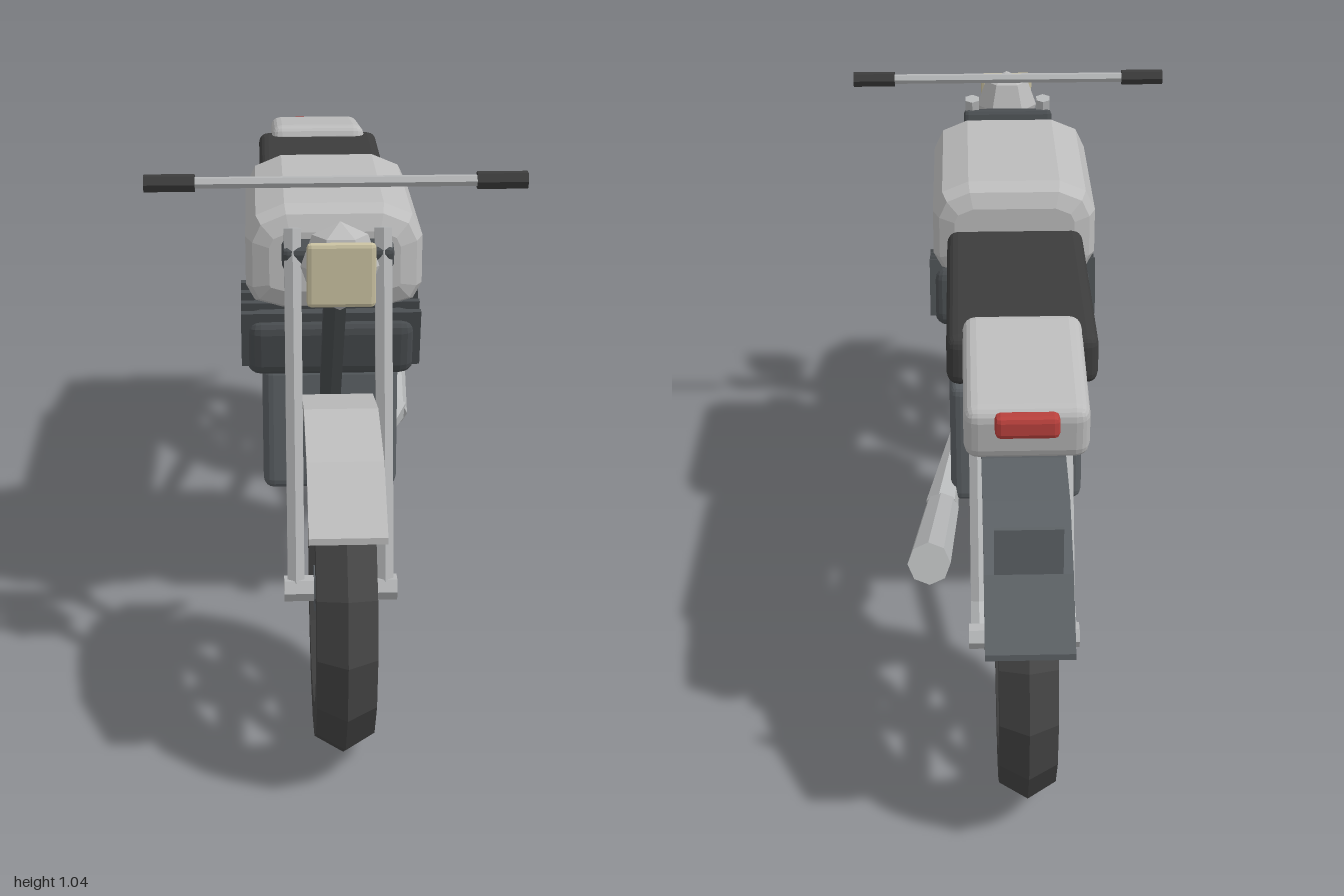
import * as THREE from 'three';
import { RoundedBoxGeometry } from 'three/addons/geometries/RoundedBoxGeometry.js';

const paint = (name, color) => {
  const m = new THREE.MeshStandardMaterial({ color });
  m.name = name;
  return m;
};

export function createModel() {
  const bodyGrey = paint('bodyGrey', 0xbcbcbc);
  const steel = paint('steel', 0xb6b8b9);
  const rubber = paint('rubber', 0x454545);
  const leather = paint('leather', 0x3c3c3c);
  const slate = paint('slate', 0x5c6165);
  const darkMetal = paint('darkMetal', 0x4a4e51);
  const lensCream = paint('lensCream', 0xc8c0a0);
  const lampRed = paint('lampRed', 0xb8403c);

  const root = new THREE.Group();
  root.name = 'motorcycle';

  // Faceted mesh: bakes flat normals into the geometry
  const add = (name, geo, mat, pos = [0, 0, 0], tilt = 0, parent = root) => {
    const g = geo.index ? geo.toNonIndexed() : geo;
    g.computeVertexNormals();
    const mesh = new THREE.Mesh(g, mat);
    mesh.name = name;
    mesh.position.set(...pos);
    mesh.rotation.x = tilt;
    parent.add(mesh);
    return mesh;
  };

  // Straight tube between two points, optionally tapered
  const tube = (name, a, b, r, mat, r2 = r, sides = 6, parent = root) => {
    const p = new THREE.Vector3(...a), q = new THREE.Vector3(...b);
    const dir = q.clone().sub(p);
    const mesh = add(name, new THREE.CylinderGeometry(r2, r, dir.length(), sides), mat, [0, 0, 0], 0, parent);
    mesh.position.copy(p).add(q).multiplyScalar(0.5);
    mesh.quaternion.setFromUnitVectors(new THREE.Vector3(0, 1, 0), dir.normalize());
    return mesh;
  };

  const box = (name, w, h, d, r, mat, pos, tilt = 0, seg = 1) =>
    add(name, new RoundedBoxGeometry(w, h, d, seg, r), mat, pos, tilt);

  // Wheels: tyre, rim, six spokes and hub
  const wheel = (name, z) => {
    const g = new THREE.Group();
    g.name = name;
    g.position.set(0, 0.308, z);
    root.add(g);
    add('tyre', new THREE.TorusGeometry(0.243, 0.061, 6, 16).rotateY(Math.PI / 2), rubber, [0, 0, 0], 0, g);
    add('rim', new THREE.TorusGeometry(0.195, 0.02, 6, 16).rotateY(Math.PI / 2), slate, [0, 0, 0], 0, g);
    for (let i = 0; i < 3; i++) {
      add('spokePair', new THREE.BoxGeometry(0.03, 0.036, 0.39), slate, [0, 0, 0], i * Math.PI / 3, g);
    }
    tube('hub', [-0.05, 0, 0], [0.05, 0, 0], 0.045, slate, 0.045, 8, g);
    tube('axle', [-0.105, 0, 0], [0.105, 0, 0], 0.024, steel, 0.024, 6, g);
  };
  wheel('frontWheel', 0.7);
  wheel('rearWheel', -0.68);

  // Mudguards: a thin profile in (z, y) extruded across the width
  const fender = (name, pts, width, mat) => {
    const t = 0.012;
    const s = new THREE.Shape([...pts, ...pts.slice().reverse().map(([z, y]) => [z, y - t])]
      .map(([z, y]) => new THREE.Vector2(z, y)));
    const geo = new THREE.ExtrudeGeometry(s, { depth: width, bevelEnabled: false });
    add(name, geo.translate(0, 0, -width / 2).rotateY(-Math.PI / 2), mat);
  };
  fender('frontFender', [[0.98, 0.545], [0.865, 0.635], [0.7, 0.667], [0.545, 0.635], [0.425, 0.545]], 0.134, bodyGrey);
  fender('rearFender', [[-0.49, 0.625], [-0.635, 0.672], [-0.77, 0.662], [-0.9, 0.592], [-1.0, 0.495]], 0.156, slate);
  add('numberPlate', new THREE.BoxGeometry(0.12, 0.09, 0.009), slate, [0, 0.64, -0.9]);

  // Paired tubes on both sides
  for (const s of [1, -1]) {
    tube('forkLeg', [s * 0.083, 0.308, 0.7], [s * 0.083, 0.962, 0.55], 0.018, steel);
    tube('swingArm', [s * 0.085, 0.445, -0.14], [s * 0.085, 0.308, -0.68], 0.018, steel);
    tube('shockAbsorber', [s * 0.085, 0.79, -0.37], [s * 0.085, 0.335, -0.6], 0.018, steel);
    tube('handGrip', [s * 0.26, 1.032, 0.487], [s * 0.354, 1.032, 0.487], 0.017, leather);
  }

  // Steering
  tube('handlebar', [-0.27, 1.032, 0.487], [0.27, 1.032, 0.487], 0.011, steel);
  box('forkClamp', 0.205, 0.045, 0.05, 0.01, darkMetal, [0, 0.912, 0.55], 0.23);

  // Headlight
  add('headlightShell', new THREE.SphereGeometry(0.083, 6, 4).scale(0.85, 1, 0.68), bodyGrey, [0, 0.917, 0.64]);
  box('headlightLens', 0.122, 0.118, 0.018, 0.008, lensCream, [0, 0.918, 0.696]);

  // Frame
  tube('backboneTube', [0, 0.885, 0.485], [0, 0.745, -0.13], 0.025, darkMetal);
  tube('downTube', [0, 0.855, 0.49], [0, 0.285, 0.03], 0.025, darkMetal);

  // Fuel tank: octagonal section with bevelled ends
  const half = [[0.095, 0.965], [0.15, 0.942], [0.17, 0.9], [0.17, 0.805], [0.153, 0.773], [0.1, 0.758]];
  const tankShape = new THREE.Shape([...half, ...half.slice().reverse().map(([x, y]) => [-x, y])]
    .map(([x, y]) => new THREE.Vector2(x, y)));
  const tankGeo = new THREE.ExtrudeGeometry(tankShape, {
    depth: 0.38, bevelSize: 0.045, bevelThickness: 0.045, bevelOffset: -0.045, bevelSegments: 2,
  });
  add('fuelTank', tankGeo, bodyGrey, [0, 0, 0.01]);

  // Seat and tail
  box('seat', 0.28, 0.1, 0.52, 0.022, leather, [0, 0.832, -0.305], 0, 2);
  box('tailCowl', 0.22, 0.108, 0.31, 0.025, bodyGrey, [0, 0.832, -0.65], -0.15, 2);
  box('tailLight', 0.112, 0.042, 0.035, 0.01, lampRed, [0, 0.838, -0.812]);

  // Engine
  box('engineCase', 0.28, 0.28, 0.397, 0.022, slate, [0, 0.435, 0.03], 0, 2);
  box('cylinderBlock', 0.344, 0.135, 0.168, 0.03, darkMetal, [0, 0.638, 0.183], 0.23, 2);
  for (let i = 0; i < 4; i++) {
    const z = 0.06 - i * 0.04;
    add('coolingFin', new THREE.BoxGeometry(0.364, 0.125, 0.012), darkMetal, [0, 0.656 - z * 0.23, 0.19 + z], 0.23);
  }

  // Exhaust along the left side
  tube('exhaustPort', [0.105, 0.41, 0.3], [0.105, 0.37, 0.1], 0.024, steel);
  tube('exhaustPipe', [0.115, 0.365, 0.13], [0.16, 0.305, -0.2], 0.008, steel, 0.036);
  tube('muffler', [0.16, 0.297, -0.19], [0.177, 0.49, -0.705], 0.036, steel, 0.04, 8);

  return root;
}
